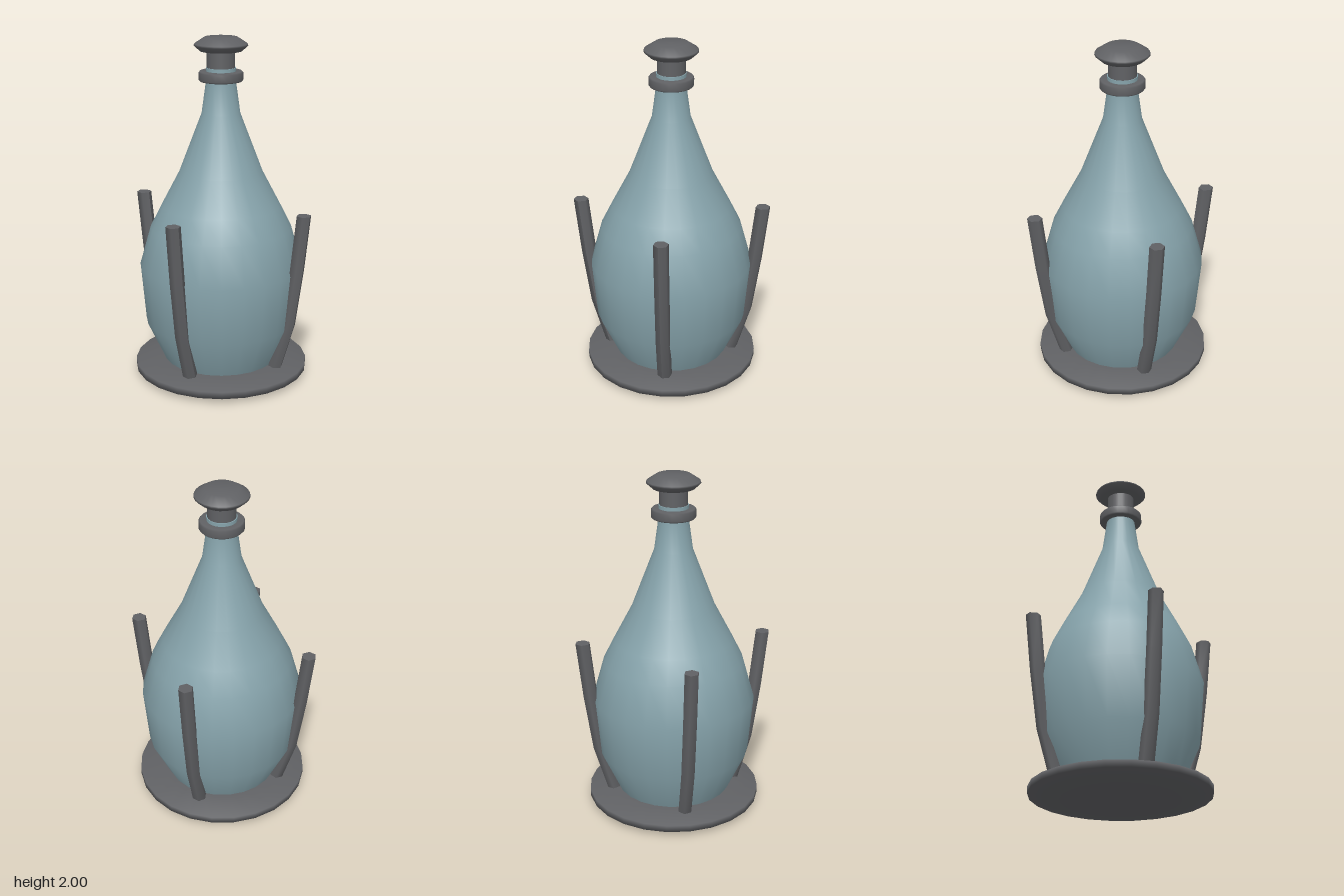
import * as THREE from 'three';

const SIDES = 24;

function lathe(name, points, material) {
  const geometry = new THREE.LatheGeometry(points.map(([r, y]) => new THREE.Vector2(r, y)), SIDES);
  const mesh = new THREE.Mesh(geometry, material);
  mesh.name = name;
  return mesh;
}

// Hexagonal bar whose rings follow a path leaning outwards along the diagonal
function bar(sx, sz, material) {
  const path = [[0.25, 0.05], [0.315, 0.36], [0.35, 0.7], [0.376, 1.035]];
  const steps = path.length - 1;
  const geometry = new THREE.CylinderGeometry(0.043, 0.043, 1, 6, steps, false, Math.PI / 6);
  const p = geometry.attributes.position;
  for (let i = 0; i < p.count; i++) {
    const [offset, y] = path[Math.round((p.getY(i) + 0.5) * steps)];
    p.setXYZ(i, p.getX(i) + sx * offset, y, p.getZ(i) + sz * offset);
  }
  geometry.computeVertexNormals();
  const mesh = new THREE.Mesh(geometry, material);
  mesh.name = 'holderBar';
  return mesh;
}

export function createModel() {
  const glass = new THREE.MeshStandardMaterial({ color: 0x86a3ab });
  glass.name = 'blue grey glass';
  const metal = new THREE.MeshStandardMaterial({ color: 0x606164 });
  metal.name = 'dark grey metal';

  const model = new THREE.Group();
  model.name = 'bottleInStand';

  // Round base plate with bevelled rim
  model.add(lathe('basePlate', [
    [0, 0.005], [0.33, 0.005], [0.51, 0.032], [0.51, 0.072], [0.33, 0.096], [0, 0.096],
  ], metal));

  // Bottle body and neck
  model.add(lathe('bottle', [
    [0.33, 0.08], [0.445, 0.33], [0.475, 0.67], [0.41, 0.9], [0.345, 1.03],
    [0.24, 1.23], [0.11, 1.57], [0.085, 1.75], [0.085, 1.828],
  ], glass));
  const lip = new THREE.Mesh(new THREE.CircleGeometry(0.085, SIDES), glass);
  lip.name = 'bottleLip';
  lip.rotation.x = -Math.PI / 2;
  lip.position.y = 1.828;
  model.add(lip);

  // Collar around the neck
  model.add(lathe('neckCollar', [
    [0.08, 1.752], [0.12, 1.752], [0.127, 1.76], [0.127, 1.8], [0.12, 1.808], [0.08, 1.808],
  ], metal));

  // Stopper stem and cap
  const stem = new THREE.Mesh(new THREE.CylinderGeometry(0.08, 0.08, 0.14, SIDES), metal);
  stem.name = 'stopperStem';
  stem.position.y = 1.86;
  model.add(stem);
  model.add(lathe('stopperCap', [
    [0, 1.922], [0.12, 1.922], [0.153, 1.952], [0.15, 1.962], [0.095, 1.998], [0, 2.0],
  ], metal));

  // Four holder bars at the corners
  for (const sx of [-1, 1]) for (const sz of [-1, 1]) model.add(bar(sx, sz, metal));

  return model;
}
